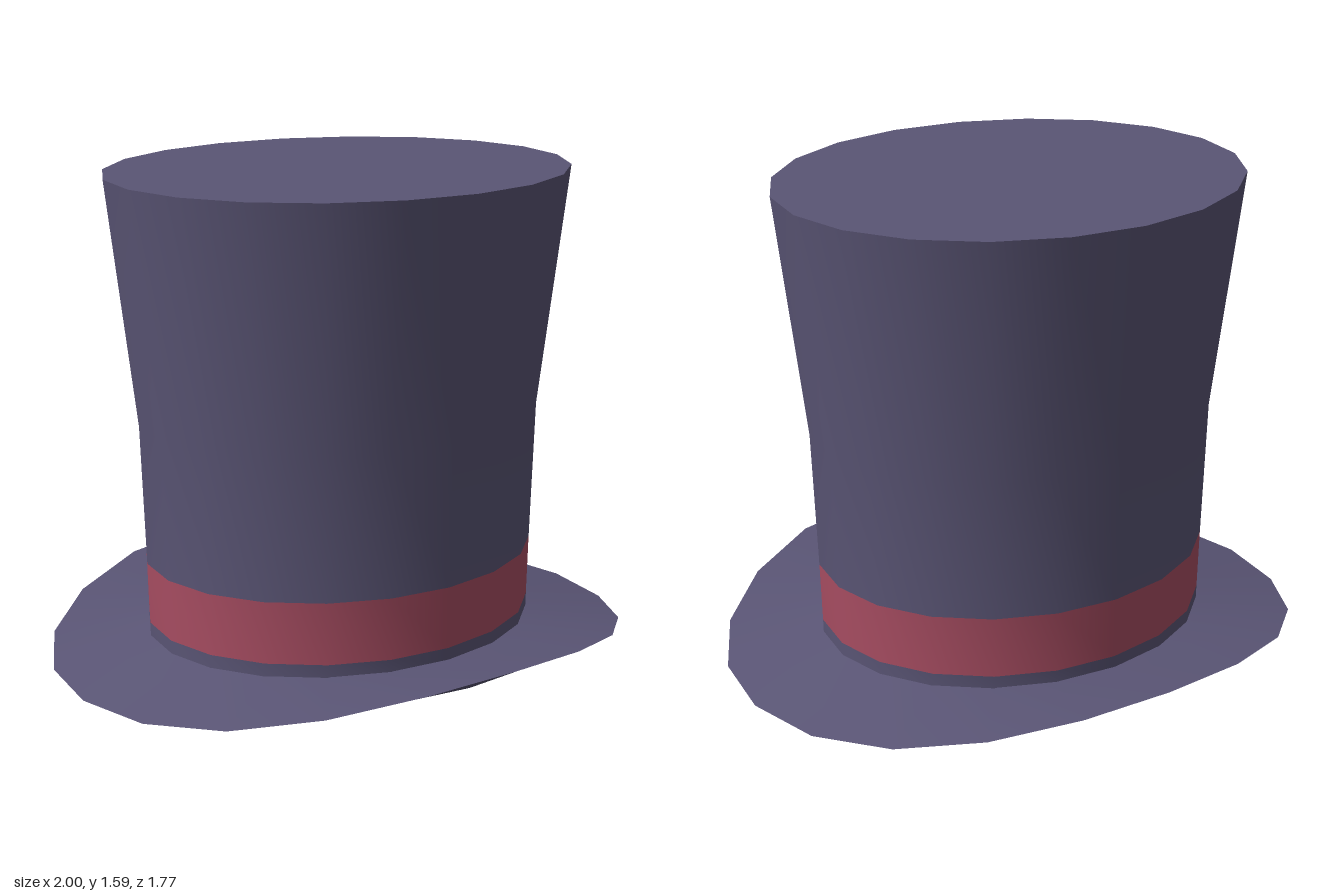
import * as THREE from 'three';

const SIDES = 20;

// Oval ring of points; y may be a number or a function of the angle
function ring(rx, rz, y, shift = 0) {
  return Array.from({ length: SIDES }, (_, i) => {
    const a = (i / SIDES) * Math.PI * 2;
    const s = Math.sin(a);
    return new THREE.Vector3(
      rx * Math.cos(a) + shift * s ** 8,
      typeof y === 'function' ? y(s) : y,
      rz * s
    );
  });
}

// Ten-sided oval: every odd point is moved to the middle of its chord
function coarseRing(rx, rz, y) {
  const pts = ring(rx, rz, y);
  for (let i = 1; i < SIDES; i += 2) {
    pts[i].addVectors(pts[i - 1], pts[(i + 1) % SIDES]).multiplyScalar(0.5);
  }
  return pts;
}

// Smooth skin over a list of rings
function loft(name, rings, material) {
  const index = [];
  for (let j = 0; j < rings.length - 1; j++) {
    for (let i = 0; i < SIDES; i++) {
      const n = (i + 1) % SIDES;
      const a = j * SIDES + i, b = a + SIDES;
      const c = (j + 1) * SIDES + n, d = j * SIDES + n;
      index.push(a, b, c, a, c, d);
    }
  }
  const geo = new THREE.BufferGeometry().setFromPoints(rings.flat());
  geo.setIndex(index);
  geo.computeVertexNormals();
  const mesh = new THREE.Mesh(geo, material);
  mesh.name = name;
  return mesh;
}

export function createModel() {
  const felt = new THREE.MeshStandardMaterial({ color: 0x5a5575 });
  felt.name = 'purple felt';
  const ribbon = new THREE.MeshStandardMaterial({ color: 0xa84d62 });
  ribbon.name = 'red ribbon';

  const hat = new THREE.Group();
  hat.name = 'topHat';

  // Crown wall, with the ribbon as a flush coloured strip
  const low = ring(0.671, 0.581, 0.13);
  const high = ring(0.677, 0.584, 0.335);
  const lip = ring(0.79, 0.69, 1.6);
  hat.add(loft('crownBase', [ring(0.67, 0.58, 0.08), low], felt));
  hat.add(loft('hatBand', [low, high], ribbon));
  hat.add(loft('crown', [high, ring(0.695, 0.592, 0.8), lip], felt));
  hat.add(loft('crownTop', [lip, ring(0, 0, 1.6)], felt));

  // Brim, curled up at front and back and drooping at the sides
  const rim = ring(1, 0.887, (s) => 0.006 + 0.139 * Math.abs(s) ** 3, 0.02);
  const opening = coarseRing(0.58, 0.52, 0.03);
  hat.add(loft('brimTop', [rim, ring(0.66, 0.57, 0.088)], felt));
  hat.add(loft('brimUnderside', [opening, ring(0.76, 0.69, 0.03), rim], felt));

  // Hollow inside
  hat.add(loft('lining', [
    coarseRing(0, 0, 0.95),
    coarseRing(0.35, 0.3, 0.9),
    coarseRing(0.53, 0.47, 0.65),
    opening
  ], felt));

  return hat;
}
